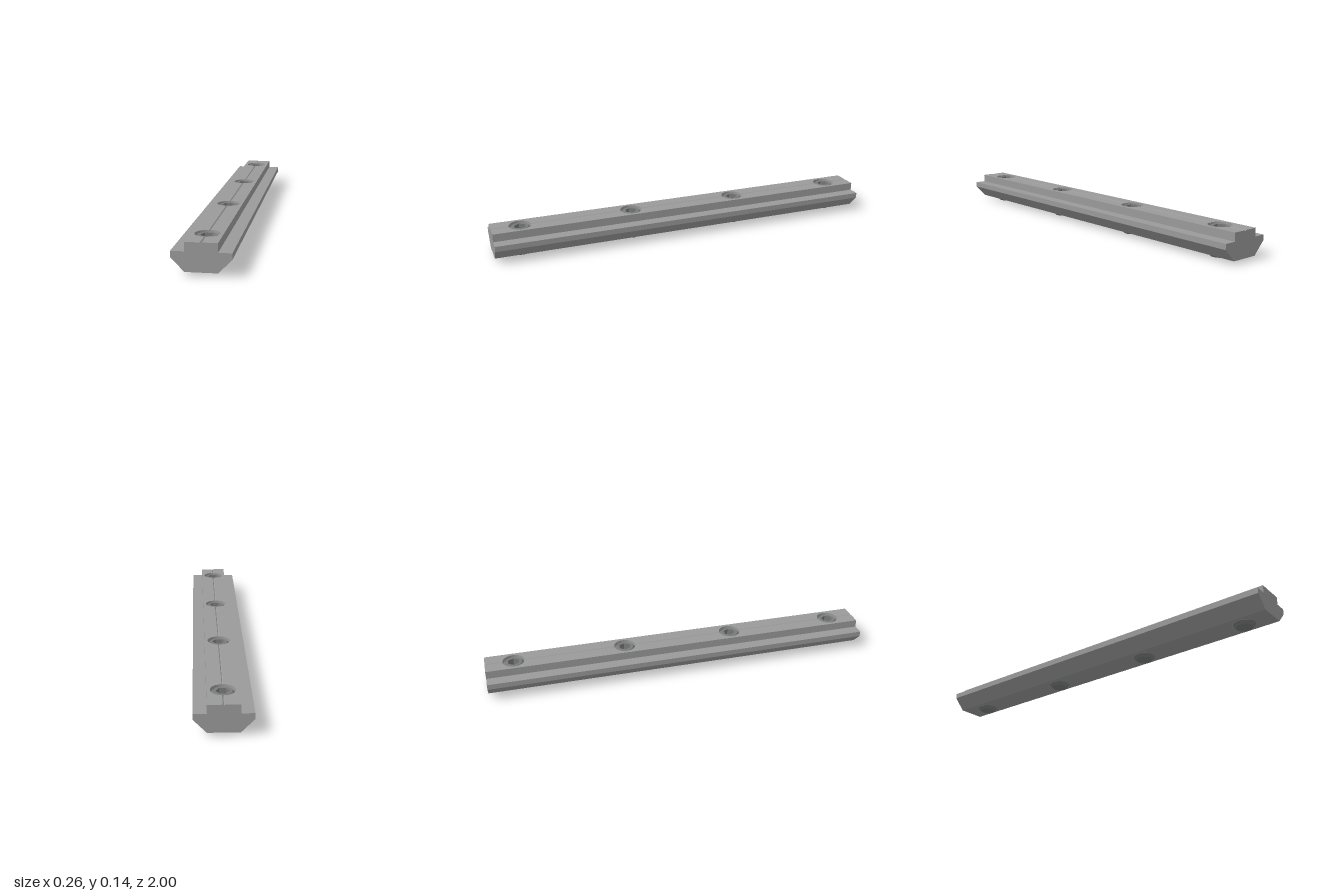
import * as THREE from 'three';
import { toCreasedNormals } from 'three/addons/utils/BufferGeometryUtils.js';

const BOTTOM = 0.016, SHOULDER = 0.103, TOP = 0.143, GROOVE = 0.005;
const HALF_STEM = 0.07, HALF_WIDTH = 0.128;
const HOLE_R = 0.055, HEAD_R = 0.042, HEAD_Y = 0.138, SOCKET_DEPTH = 0.06;
const HOLES = [0.857, 0.286, -0.286, -0.857];

const steel = new THREE.MeshStandardMaterial({ color: 0x9a9a9a });
steel.name = 'rail steel';
const darkSteel = new THREE.MeshStandardMaterial({ color: 0x7a7c7c });
darkSteel.name = 'screw steel';

function add(parent, name, geometry, material) {
  const mesh = new THREE.Mesh(geometry, material);
  mesh.name = name;
  parent.add(mesh);
  return mesh;
}

// Extrudes a plan shape upward from y0 to y1
function extrudeUp(shape, y0, y1) {
  const g = new THREE.ExtrudeGeometry(shape, { depth: y1 - y0, bevelEnabled: false, curveSegments: 24 });
  return g.rotateX(-Math.PI / 2).translate(0, y0, 0);
}

function hexagon(r, PathType) {
  const pts = [];
  for (let i = 0; i < 6; i++) {
    const a = i * Math.PI / 3;
    pts.push(new THREE.Vector2(r * Math.cos(a), r * Math.sin(a)));
  }
  return new PathType(pts);
}

// Drilled block running down the middle of the rail
function coreGeometry() {
  const shape = new THREE.Shape([
    new THREE.Vector2(-HALF_STEM, -1), new THREE.Vector2(HALF_STEM, -1),
    new THREE.Vector2(HALF_STEM, 1), new THREE.Vector2(-HALF_STEM, 1)
  ]);
  for (const z of HOLES) shape.holes.push(new THREE.Path().absarc(0, z, HOLE_R, 0, Math.PI * 2, true));
  return extrudeUp(shape, BOTTOM, TOP - GROOVE);
}

// Half of the top layer; its inner edge slopes to form the centre V groove
function topGeometry(side) {
  const shape = new THREE.Shape();
  shape.moveTo(0, -1);
  shape.lineTo(side * HALF_STEM, -1);
  shape.lineTo(side * HALF_STEM, 1);
  shape.lineTo(0, 1);
  for (const z of HOLES) {
    shape.absarc(0, z, HOLE_R, Math.PI / 2, side > 0 ? -Math.PI / 2 : Math.PI * 1.5, side > 0);
  }
  const g = extrudeUp(shape, TOP - GROOVE, TOP);
  const p = g.attributes.position;
  for (let i = 0; i < p.count; i++) {
    if (Math.abs(p.getX(i)) < 1e-4 && p.getY(i) > TOP - 0.001) p.setX(i, side * GROOVE);
  }
  g.computeVertexNormals();
  return g;
}

// Shoulder flange with the slanted underside
function flangeGeometry(side) {
  const shape = new THREE.Shape([
    [HALF_STEM, BOTTOM], [HALF_WIDTH, 0.076], [HALF_WIDTH, SHOULDER], [HALF_STEM, SHOULDER]
  ].map(([x, y]) => new THREE.Vector2(side * x, y)));
  return new THREE.ExtrudeGeometry(shape, { depth: 2, bevelEnabled: false }).translate(0, 0, -1);
}

// Set screw with chamfered ends and a hexagonal socket
function createScrew() {
  const screw = new THREE.Group();
  const profile = [[0, 0], [0.04, 0], [0.054, BOTTOM - 0.001], [0.054, 0.126], [HEAD_R, HEAD_Y]]
    .map(([r, y]) => new THREE.Vector2(r, y));
  add(screw, 'screwBody', toCreasedNormals(new THREE.LatheGeometry(profile, 48), 0.4), darkSteel);

  const head = new THREE.Shape().absarc(0, 0, HEAD_R, 0, Math.PI * 2, false);
  head.holes.push(hexagon(0.031, THREE.Path));
  add(screw, 'socketHead', extrudeUp(head, HEAD_Y - SOCKET_DEPTH, HEAD_Y), darkSteel);

  const floor = new THREE.ShapeGeometry(hexagon(0.032, THREE.Shape));
  floor.rotateX(-Math.PI / 2).translate(0, HEAD_Y - SOCKET_DEPTH + 0.001, 0);
  add(screw, 'socketFloor', floor, darkSteel);
  return screw;
}

export function createModel() {
  const model = new THREE.Group();
  model.name = 'slotRail';

  const rail = new THREE.Group();
  rail.name = 'rail';
  model.add(rail);
  add(rail, 'core', coreGeometry(), steel);
  for (const side of [1, -1]) {
    const label = side > 0 ? 'left' : 'right';
    add(rail, label + 'Top', topGeometry(side), steel);
    add(rail, label + 'Flange', flangeGeometry(side), steel);
  }

  HOLES.forEach((z, i) => {
    const screw = createScrew();
    screw.name = 'setScrew' + (i + 1);
    screw.position.z = z;
    model.add(screw);
  });
  return model;
}
